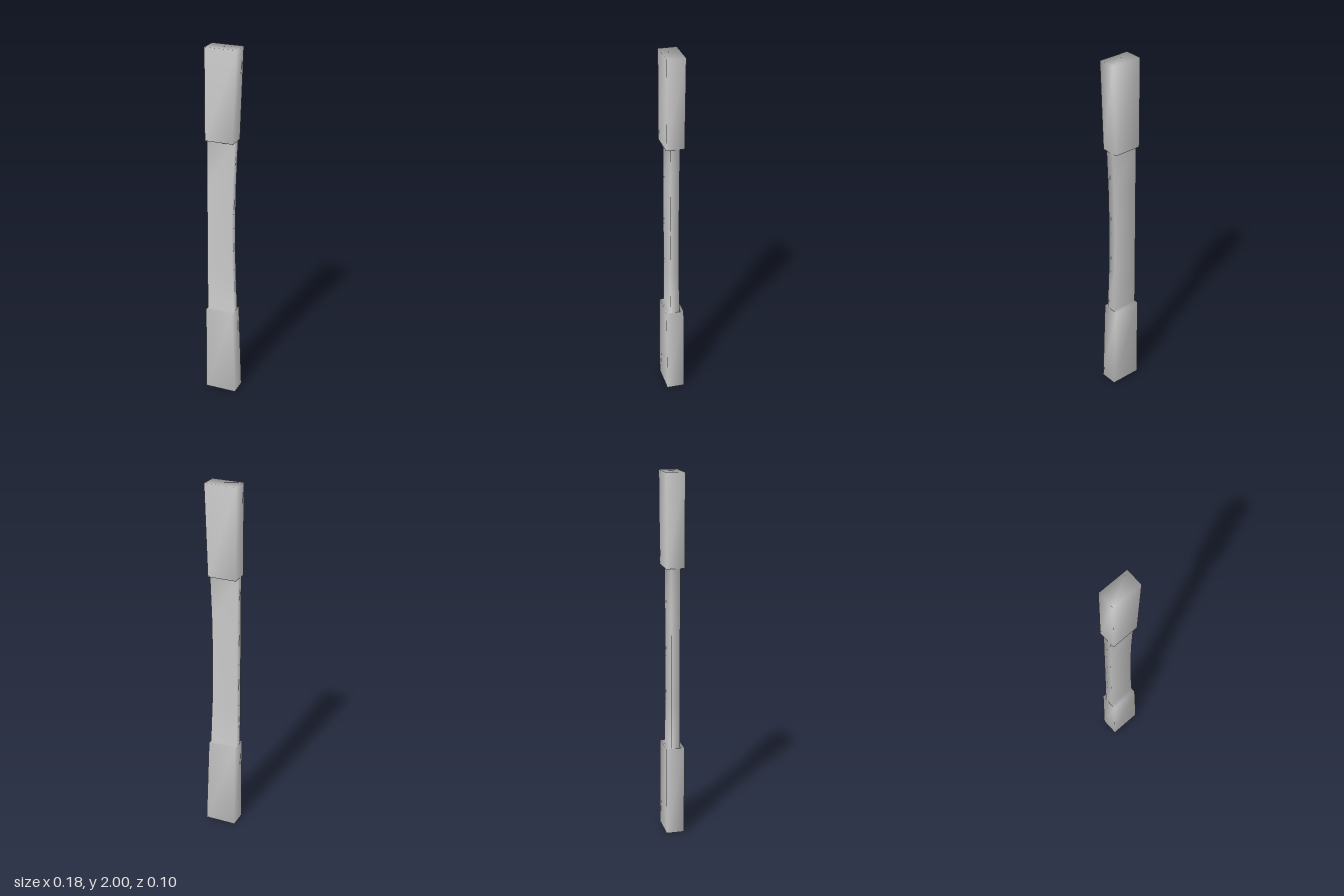
import * as THREE from 'three';

// Rectangular cross-sections from bottom to top: [y, right edge x, half depth]
const LEFT = -0.088;
const SECTIONS = [
  [0, 0.088, 0.05], [0.5, 0.07, 0.05],      // lower thick end
  [0.5, 0.07, 0.025], [0.75, 0.06, 0.025],  // thin curved waist
  [1, 0.056, 0.025],
  [1.25, 0.06, 0.025], [1.5, 0.07, 0.025],
  [1.5, 0.07, 0.05], [2, 0.088, 0.05],      // upper thick end
];

// Joins the sections into one closed, smooth-shaded skin
function loft(sections) {
  const positions = [];
  const indices = [];
  for (const [y, right, d] of sections) {
    positions.push(LEFT, y, d, right, y, d, right, y, -d, LEFT, y, -d);
  }
  for (let s = 0; s < sections.length - 1; s++) {
    for (let i = 0; i < 4; i++) {
      const a = s * 4 + i;
      const b = s * 4 + (i + 1) % 4;
      indices.push(a, b, b + 4, a, b + 4, a + 4);
    }
  }
  // End caps
  const t = (sections.length - 1) * 4;
  indices.push(0, 2, 1, 0, 3, 2, t, t + 1, t + 2, t, t + 2, t + 3);

  const geometry = new THREE.BufferGeometry();
  geometry.setAttribute('position', new THREE.Float32BufferAttribute(positions, 3));
  geometry.setIndex(indices);
  geometry.computeVertexNormals();
  return geometry;
}

export function createModel() {
  const group = new THREE.Group();
  group.name = 'waistedBar';
  const bar = new THREE.Mesh(loft(SECTIONS), new THREE.MeshStandardMaterial({ color: 0xcccccc }));
  bar.name = 'bar';
  group.add(bar);
  return group;
}
